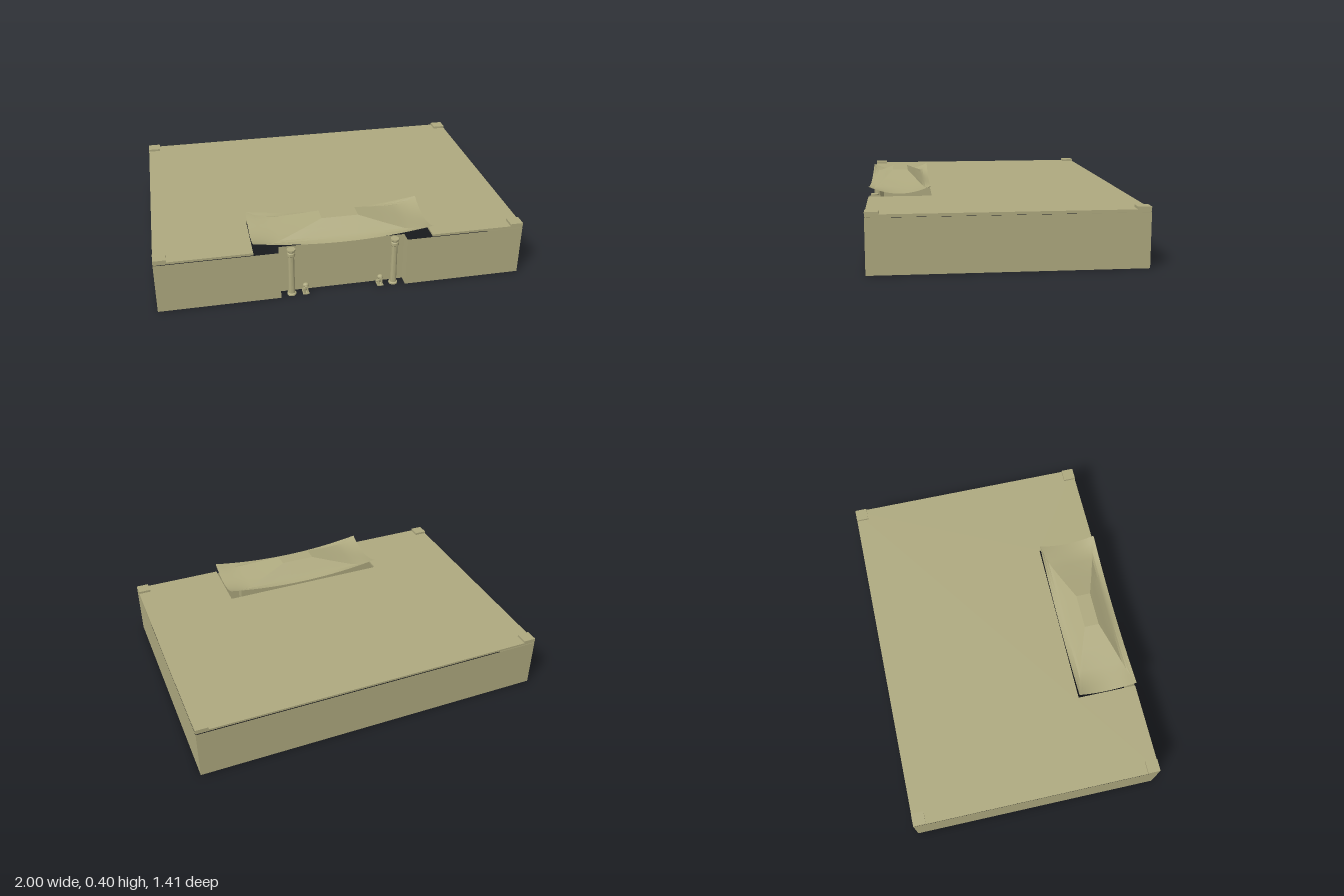
import * as THREE from 'three';
import { toCreasedNormals } from 'three/addons/utils/BufferGeometryUtils.js';

const W = 1, D = 0.705;            // half width and half depth of the building
const CZ = 0.535;                  // centre of the gate roof
const HX = 0.485, HZ = 0.17;       // half size of the gate roof

export function createModel() {
  const model = new THREE.Group();
  const stone = new THREE.MeshStandardMaterial({ color: 0xaea97f, side: THREE.DoubleSide });
  stone.name = 'olive stone';

  const add = (name, geometry, x = 0, y = 0, z = 0, parent = model) => {
    const mesh = new THREE.Mesh(geometry, stone);
    mesh.name = name;
    mesh.position.set(x, y, z);
    parent.add(mesh);
    return mesh;
  };

  // Upright sheet following a plan outline of [x, z] points
  const strip = (points, y0, y1) => {
    const pos = [];
    for (let i = 0; i < points.length - 1; i++) {
      const [ax, az] = points[i], [bx, bz] = points[i + 1];
      pos.push(ax, y0, az, bx, y0, bz, bx, y1, bz, ax, y0, az, bx, y1, bz, ax, y1, az);
    }
    const g = new THREE.BufferGeometry();
    g.setAttribute('position', new THREE.Float32BufferAttribute(pos, 3));
    g.computeVertexNormals();
    return g;
  };

  // Outer walls, open below, with a shallow entrance recess in the front
  const rx = 0.345, rz = 0.645;
  add('walls', strip([
    [-W, D], [-rx, D], [-rx, rz], [rx, rz], [rx, D], [W, D], [W, -D], [-W, -D], [-W, D],
  ], 0, 0.285));

  // Narrow groove between the walls and the roof slab
  const e = 0.005;
  add('grooveBand', strip([
    [HX, D - e], [W - e, D - e], [W - e, -D + e], [-W + e, -D + e], [-W + e, D - e], [-HX, D - e],
  ], 0.285, 0.29));

  // Flat roof slab, notched above the entrance
  const slab = new THREE.Shape([
    [-W, -D], [-HX, -D], [-HX, -(CZ - HZ)], [HX, -(CZ - HZ)], [HX, -D], [W, -D], [W, D], [-W, D],
  ].map(([x, y]) => new THREE.Vector2(x, y)));
  const slabGeometry = new THREE.ExtrudeGeometry(slab, { depth: 0.011, bevelEnabled: false });
  slabGeometry.rotateX(-Math.PI / 2);
  add('roofSlab', slabGeometry, 0, 0.29, 0);

  // Corner blocks on the slab
  for (const sx of [-1, 1]) for (const sz of [-1, 1]) {
    add('cornerBlock', new THREE.BoxGeometry(0.07, 0.014, 0.07), sx * (W - 0.035), 0.307, sz * (D - 0.035));
  }

  // Gate roof: four swept panels with upturned corners; rows are
  // [half x, half z, height at middle, extra lift at the corners]
  const rows = [
    [0.1, 0.042, 0.395, 0], [0.22, 0.085, 0.363, 0], [0.34, 0.126, 0.331, 0.002],
    [0.385, 0.14, 0.323, 0.008], [0.435, 0.155, 0.318, 0.021], [HX, HZ, 0.315, 0.041],
  ];
  const gateRoof = new THREE.Group();
  gateRoof.name = 'gateRoof';
  gateRoof.position.z = CZ;
  model.add(gateRoof);
  for (let k = 0; k < 4; k++) {
    const g = new THREE.PlaneGeometry(2, 1, 16, rows.length - 1);
    const p = g.attributes.position;
    for (let i = 0; i < p.count; i++) {
      const s = p.getX(i);
      const [hx, hz, y, lift] = rows[Math.floor(i / 17)];
      const along = k % 2 ? hz : hx, out = k % 2 ? hx : hz;
      p.setXYZ(i, s * along, y + lift * s * s, out);
    }
    g.rotateY(k * Math.PI / 2);
    add('roofPanel', toCreasedNormals(g, 0.25), 0, 0, 0, gateRoof);
  }
  const cap = new THREE.PlaneGeometry(0.2, 0.084);
  cap.rotateX(-Math.PI / 2);
  add('roofCap', cap, 0, 0.395, 0, gateRoof);

  // Hollow neck beneath the gate roof
  const neck = new THREE.CylinderGeometry(Math.SQRT1_2, Math.SQRT1_2, 1, 4, 1, true);
  neck.rotateY(Math.PI / 4);
  neck.scale(0.19, 0.09, 0.08);
  add('roofNeck', toCreasedNormals(neck, 0.5), 0, 0.345, 0, gateRoof);

  // Entrance columns and small guardian statues
  const columnProfile = [
    [0, 0], [0.025, 0], [0.025, 0.008], [0.018, 0.012], [0.016, 0.24], [0.022, 0.246],
    [0.022, 0.262], [0.018, 0.268], [0.023, 0.276], [0.023, 0.285], [0, 0.285],
  ].map(([r, y]) => new THREE.Vector2(r, y));
  for (const s of [-1, 1]) {
    const column = toCreasedNormals(new THREE.LatheGeometry(columnProfile, 16), 0.5);
    add('column', column, s * 0.283, 0, 0.677);

    const statue = new THREE.Group();
    statue.name = 'guardianStatue';
    statue.position.set(s * 0.207, 0, 0.677);
    model.add(statue);
    add('plinth', new THREE.BoxGeometry(0.034, 0.006, 0.046), 0, 0.003, 0, statue);
    for (const t of [-1, 1]) {
      add('frontLeg', new THREE.CylinderGeometry(0.004, 0.005, 0.03, 6), t * 0.009, 0.02, 0.013, statue);
      add('haunch', new THREE.SphereGeometry(0.009, 8, 6), t * 0.008, 0.013, -0.012, statue);
    }
    const body = add('body', new THREE.SphereGeometry(0.014, 10, 8), 0, 0.028, 0, statue);
    body.scale.set(0.85, 1.25, 1);
    body.rotation.x = 0.4;
    const head = add('head', new THREE.SphereGeometry(0.015, 10, 8), 0, 0.052, 0.008, statue);
    head.scale.set(1.15, 0.9, 0.9);
    add('muzzle', new THREE.BoxGeometry(0.014, 0.01, 0.012), 0, 0.048, 0.021, statue);
  }

  return model;
}
